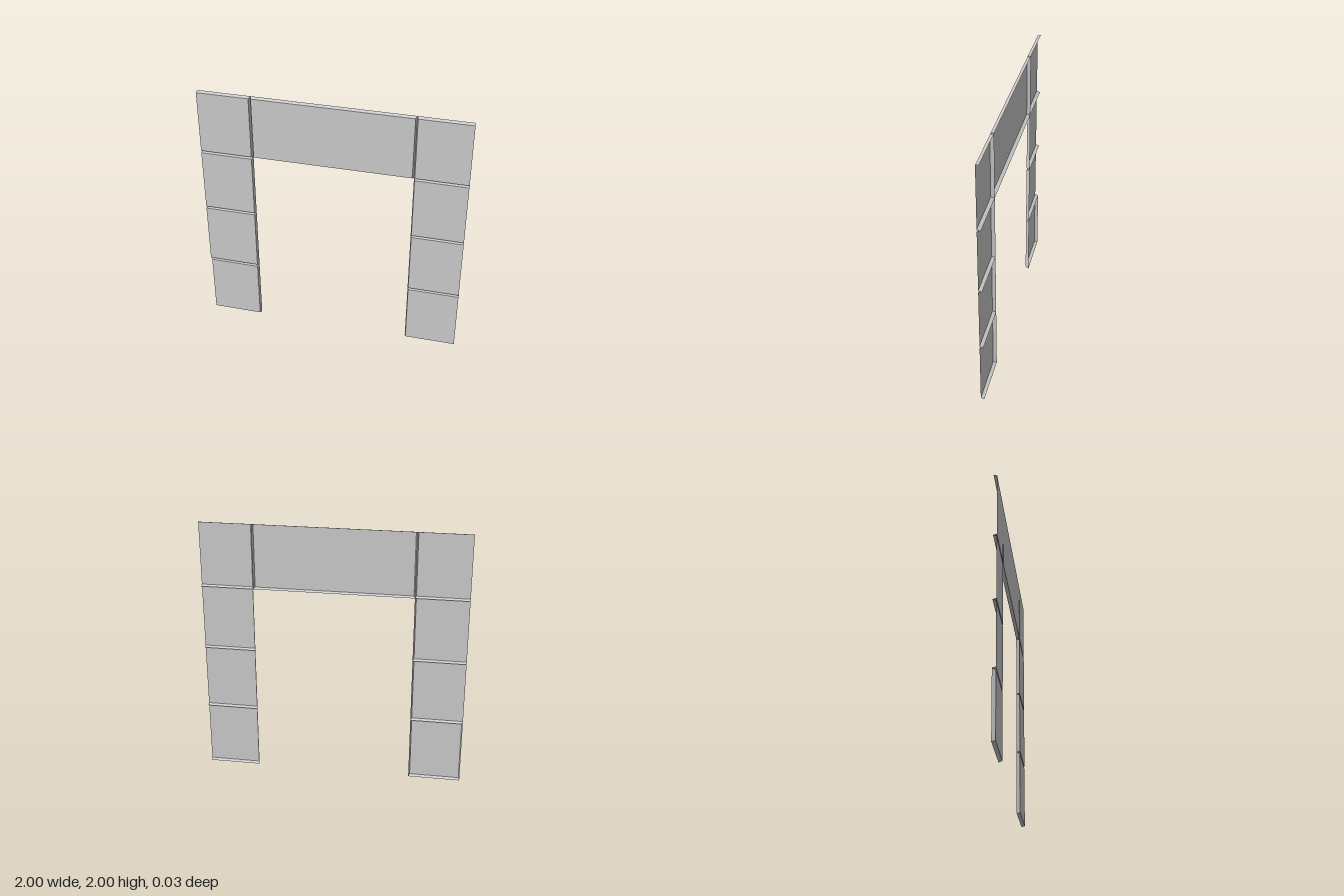
import * as THREE from 'three';

const DEPTH = 0.026;  // front face to open back
const INSET = 0.009;  // slope of the folded edges

// Open-backed sheet tray: a front face plus sloping flanges on the chosen edges.
function trayPanel(name, x0, x1, y0, y1, { left = true, right = true }, material) {
  const zf = DEPTH / 2, zb = -DEPTH / 2;
  const fx0 = x0 + (left ? INSET : 0), fx1 = x1 - (right ? INSET : 0);
  const fy0 = y0 + INSET, fy1 = y1 - INSET;
  // corners run counter-clockwise from the lower x, lower y corner
  const front = [[fx0, fy0, zf], [fx1, fy0, zf], [fx1, fy1, zf], [fx0, fy1, zf]];
  const back = [[x0, y0, zb], [x1, y0, zb], [x1, y1, zb], [x0, y1, zb]];
  const points = [];
  const quad = (a, b, c, d) => points.push(...a, ...b, ...c, ...a, ...c, ...d);

  quad(...front);
  const flanges = [true, right, true, left]; // bottom, +x, top, -x
  flanges.forEach((present, i) => {
    const j = (i + 1) % 4;
    if (present) quad(back[i], back[j], front[j], front[i]);
  });

  const geometry = new THREE.BufferGeometry();
  geometry.setAttribute('position', new THREE.Float32BufferAttribute(points, 3));
  geometry.computeVertexNormals();
  const mesh = new THREE.Mesh(geometry, material);
  mesh.name = name;
  return mesh;
}

export function createModel() {
  const model = new THREE.Group();
  model.name = 'panelArch';
  const material = new THREE.MeshStandardMaterial({
    color: 0xcccccc, flatShading: true, side: THREE.DoubleSide,
  });

  // Two columns of four panels; outer edges are unfolded except on one foot panel
  for (let row = 0; row < 4; row++) {
    const y0 = row * 0.5, y1 = y0 + 0.5;
    model.add(
      trayPanel(`rightColumnPanel${row + 1}`, -1, -0.6, y0, y1, { left: row === 0 }, material),
      trayPanel(`leftColumnPanel${row + 1}`, 0.6, 1, y0, y1, { right: false }, material),
    );
  }

  // Wide panel bridging the columns
  model.add(trayPanel('lintelPanel', -0.6, 0.6, 1.5, 2, {}, material));
  return model;
}
